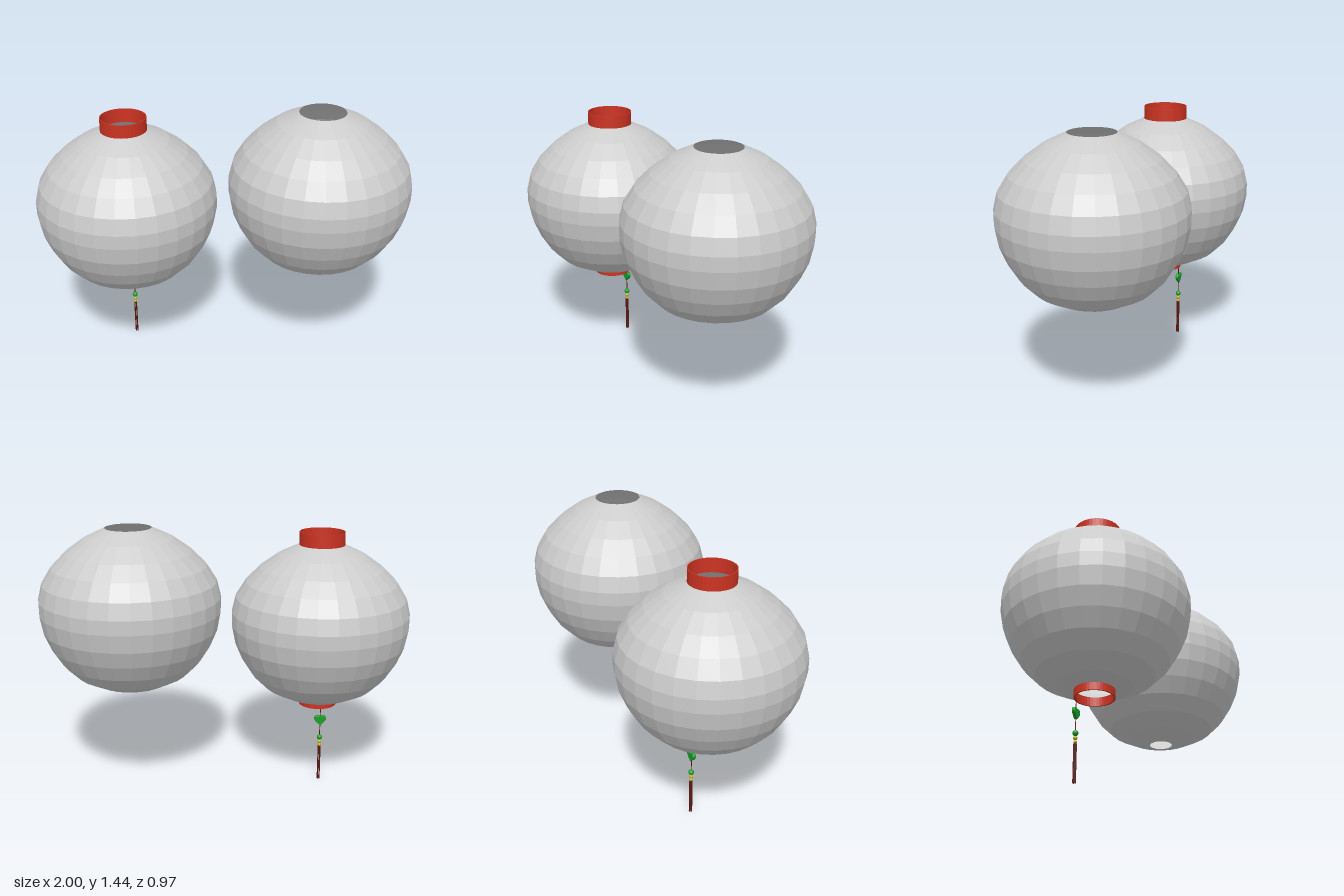
import * as THREE from 'three';

const mat = (color, flatShading = false) =>
  new THREE.MeshStandardMaterial({ color, flatShading, side: THREE.DoubleSide });
const paper = mat(0xcccccc, true);
const red = mat(0xcc3322);
const green = mat(0x18a028);
const yellow = mat(0xc0b428);
const cord = mat(0x5a1a14);

function add(parent, name, geometry, material, x = 0, y = 0, z = 0) {
  const mesh = new THREE.Mesh(geometry, material);
  mesh.name = name;
  mesh.position.set(x, y, z);
  parent.add(mesh);
  return mesh;
}

const lathe = (points, sides) =>
  new THREE.LatheGeometry(points.map(([r, y]) => new THREE.Vector2(r, y)), sides);

// Paper globe profile from bottom to top, relative to the widest height
const globeProfile = [
  [0.192, -0.435], [0.30, -0.38], [0.375, -0.305], [0.428, -0.22], [0.466, -0.13],
  [0.484, -0.035], [0.484, 0.04], [0.463, 0.125], [0.41, 0.21], [0.335, 0.285],
  [0.238, 0.355], [0.123, 0.41],
];
const globe = (bottomRadius, bottomY) => lathe([[bottomRadius, bottomY], ...globeProfile], 28);

// Thin-walled collar, open through the middle
const collar = (outer, inner, height) =>
  lathe([[inner, 0], [outer, 0], [outer, height], [inner, height], [inner, 0]], 40).toNonIndexed();

function sharpCollar(outer, inner, height) {
  const g = collar(outer, inner, height);
  g.computeVertexNormals();
  return g;
}

function heart() {
  const s = new THREE.Shape();
  s.moveTo(0, -0.027);
  s.bezierCurveTo(-0.012, -0.016, -0.031, -0.004, -0.031, 0.010);
  s.bezierCurveTo(-0.031, 0.029, -0.006, 0.029, 0, 0.017);
  s.bezierCurveTo(0.006, 0.029, 0.031, 0.029, 0.031, 0.010);
  s.bezierCurveTo(0.031, -0.004, 0.012, -0.016, 0, -0.027);
  const g = new THREE.ExtrudeGeometry(s, {
    depth: 0.01, bevelEnabled: true, bevelThickness: 0.004, bevelSize: 0.002,
    bevelSegments: 3, curveSegments: 10,
  });
  return g.translate(0, 0, -0.005);
}

// Charm hanging from the rear of the lower collar
function createCharm() {
  const charm = new THREE.Group();
  charm.name = 'charm';
  add(charm, 'string', new THREE.CylinderGeometry(0.0025, 0.0025, 0.25, 8), cord, 0, 0.32, 0);
  add(charm, 'heart', heart(), green, 0, 0.358, 0);
  add(charm, 'greenBead', new THREE.SphereGeometry(0.015, 16, 12), green, 0, 0.255, 0);
  add(charm, 'upperYellowBead', new THREE.SphereGeometry(0.011, 14, 10), yellow, 0, 0.229, 0);
  add(charm, 'lowerYellowBead', new THREE.SphereGeometry(0.009, 14, 10), yellow, 0, 0.209, 0);
  for (let i = 0; i < 4; i++) {
    const a = Math.PI / 4 + (i * Math.PI) / 2;
    add(charm, 'tasselStrand', new THREE.CylinderGeometry(0.003, 0.003, 0.202, 8), cord,
      0.0065 * Math.cos(a), 0.101, 0.0065 * Math.sin(a));
  }
  return charm;
}

export function createModel() {
  const model = new THREE.Group();
  model.name = 'lanternPair';

  // Finished lantern with collars and charm
  const lantern = new THREE.Group();
  lantern.name = 'collaredLantern';
  lantern.position.x = -0.515;
  add(lantern, 'globe', globe(0.102, -0.455), paper, 0, 0.92, 0);
  add(lantern, 'topCollar', sharpCollar(0.122, 0.117, 0.075), red, 0, 1.325, 0);
  add(lantern, 'bottomCollar', sharpCollar(0.103, 0.096, 0.047), red, 0, 0.425, 0);
  const charm = createCharm();
  charm.position.z = -0.097;
  lantern.add(charm);
  model.add(lantern);

  // Plain lantern, open at both ends
  const plain = new THREE.Group();
  plain.name = 'plainLantern';
  plain.position.x = 0.515;
  add(plain, 'globe', globe(0.064, -0.475), paper, 0, 1.03, 0);
  model.add(plain);

  return model;
}
